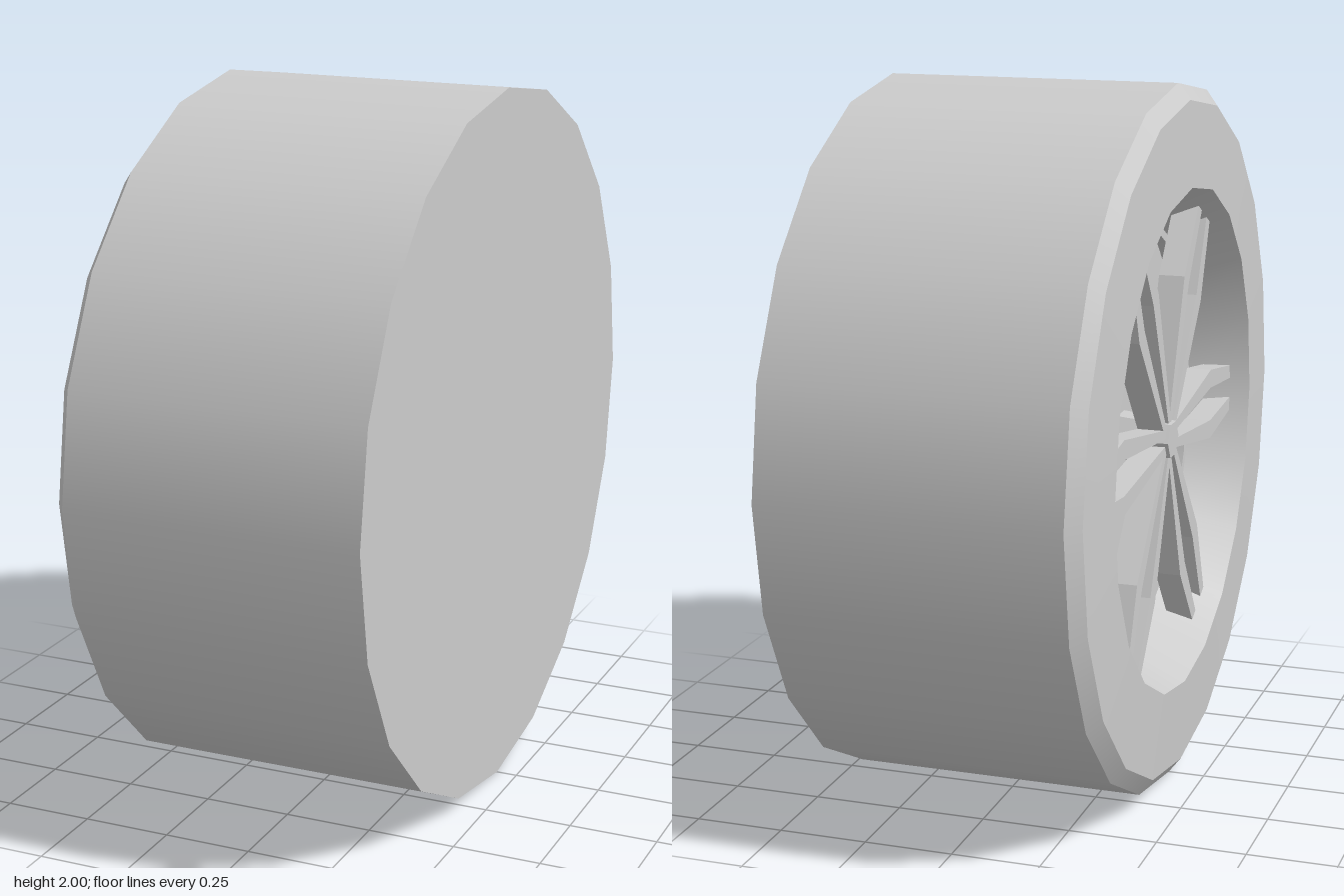
import * as THREE from 'three';

const material = new THREE.MeshStandardMaterial({ color: 0xcccccc });

// Ring or disc turned around the x axis; each profile step stays a sharp band.
function band(name, [r0, x0], [r1, x1], y = 1) {
  const pts = [new THREE.Vector2(r0, x0), new THREE.Vector2(r1, x1)];
  const geo = new THREE.LatheGeometry(pts, 20).rotateZ(-Math.PI / 2);
  const mesh = new THREE.Mesh(geo, material);
  mesh.name = name;
  mesh.position.y = y;
  return mesh;
}

// One kinked bar; side mirrors it across the spoke's centre line.
function spokeBar(side) {
  const outline = [[0.01, 0.04], [0.035, 0.04], [0.105, 0.45], [0.07, 0.685], [0.03, 0.685], [0.05, 0.45]];
  const shape = new THREE.Shape(outline.map(([t, r]) => new THREE.Vector2(t * side, r)));
  const geo = new THREE.ExtrudeGeometry(shape, { depth: 0.075, bevelEnabled: false });
  geo.rotateY(Math.PI / 2).translate(-0.385, 0, 0);
  const mesh = new THREE.Mesh(geo, material);
  mesh.name = 'spokeBar';
  return mesh;
}

export function createModel() {
  const wheel = new THREE.Group();
  wheel.name = 'wheel';

  // Profile from the centre of the recessed plate, round the tyre, to the closed side
  const profile = [
    ['rimPlate', [0, -0.24]],
    ['rimStep', [0.61, -0.24]],
    ['rimLedge', [0.61, -0.27]],
    ['rimBarrel', [0.635, -0.27]],
    ['sidewall', [0.715, -0.44]],
    ['shoulder', [0.955, -0.43]],
    ['tread', [1, -0.395]],
    ['closedSide', [1, 0.44]],
    ['end', [0, 0.44]],
  ];
  for (let i = 0; i < profile.length - 1; i++) {
    wheel.add(band(profile[i][0], profile[i][1], profile[i + 1][1]));
  }

  // Six pairs of bars
  for (let i = 0; i < 6; i++) {
    const spoke = new THREE.Group();
    spoke.name = 'spoke';
    spoke.add(spokeBar(1), spokeBar(-1));
    spoke.position.y = 1;
    spoke.rotation.x = Math.PI / 6 + (i * Math.PI) / 3;
    wheel.add(spoke);
  }

  // Small six-sided hub
  const hubGeo = new THREE.CylinderGeometry(0.075, 0.055, 0.16, 6).toNonIndexed();
  hubGeo.computeVertexNormals();
  hubGeo.rotateZ(-Math.PI / 2);
  const hub = new THREE.Mesh(hubGeo, material);
  hub.name = 'hub';
  hub.position.set(-0.315, 1, 0);
  wheel.add(hub);

  return wheel;
}
